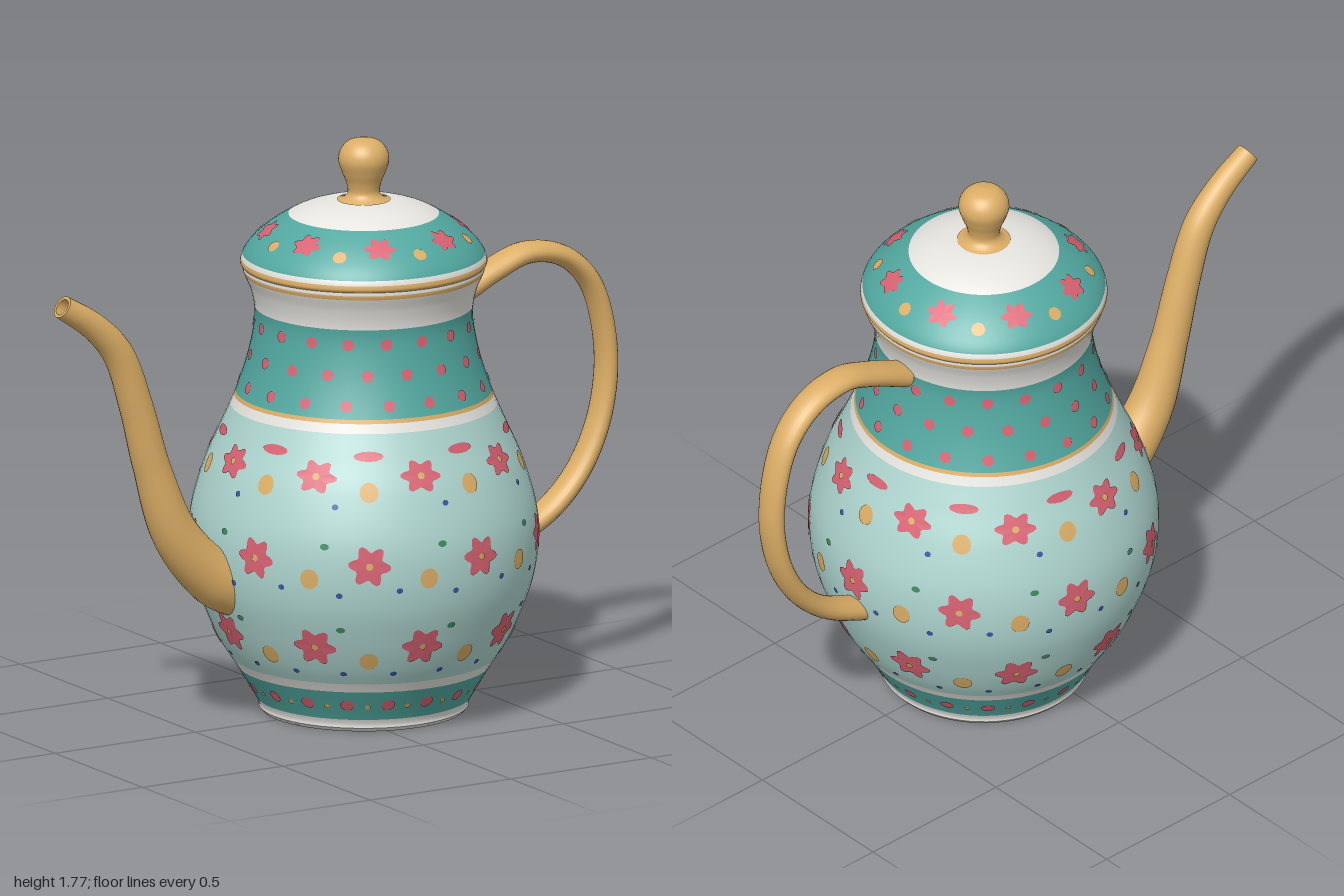
import * as THREE from 'three';
import { mergeGeometries } from 'three/addons/utils/BufferGeometryUtils.js';

const paint = (name, color) => {
  const m = new THREE.MeshStandardMaterial({ color });
  m.name = name;
  return m;
};

// Smooth profile from [radius, y] pairs, with y rising
const profile = (pairs) =>
  new THREE.SplineCurve(pairs.map(([r, y]) => new THREE.Vector2(r, y))).getPoints(260);

function radiusAt(pts, y) {
  let i = 1;
  while (i < pts.length - 1 && pts[i].y < y) i++;
  const a = pts[i - 1], b = pts[i];
  return a.x + (b.x - a.x) * ((y - a.y) / (b.y - a.y));
}

// Slice of a turned surface between two heights
function band(pts, y0, y1) {
  const slice = pts.filter((p) => p.y > y0 + 1e-4 && p.y < y1 - 1e-4);
  slice.unshift(new THREE.Vector2(radiusAt(pts, y0), y0));
  slice.push(new THREE.Vector2(radiusAt(pts, y1), y1));
  return new THREE.LatheGeometry(slice, 72);
}

// Petalled disc bent onto a turned surface; deg runs from +x towards +z
function patch(pts, deg, y0, w, h, petals = 0, lift = 0.003) {
  const g = new THREE.CircleGeometry(1, petals ? petals * 6 : 12);
  const pos = g.attributes.position;
  const e = 0.004;
  const dr = (radiusAt(pts, y0 + e) - radiusAt(pts, y0 - e)) / (2 * e);
  const len = Math.hypot(dr, 1);
  const r0 = radiusAt(pts, y0);
  for (let i = 0; i < pos.count; i++) {
    const u = pos.getX(i), v = pos.getY(i);
    const k = petals ? 0.82 + 0.18 * Math.cos(petals * Math.atan2(v, u) + 0.6) : 1;
    const y = y0 + (v * k * h) / len;
    const th = THREE.MathUtils.degToRad(deg) - (u * k * w) / r0;
    const r = radiusAt(pts, y) + lift / len;
    pos.setXYZ(i, r * Math.cos(th), y - (lift * dr) / len, r * Math.sin(th));
  }
  g.computeVertexNormals();
  return g;
}

// Tube along a curve in the xy plane; stations are [t, scale], radii(t) gives [in-plane, z]
function sweep(path, stations, radii) {
  const curve = new THREE.CatmullRomCurve3(path.map(([x, y]) => new THREE.Vector3(x, y, 0)));
  const n = 24, pos = [], idx = [];
  stations.forEach(([t, s], i) => {
    const p = curve.getPoint(t), d = curve.getTangent(t), [a, b] = radii(t);
    for (let j = 0; j < n; j++) {
      const q = (j / n) * Math.PI * 2, c = Math.cos(q) * a * s;
      pos.push(p.x - d.y * c, p.y + d.x * c, Math.sin(q) * b * s);
      if (i === stations.length - 1) continue;
      const k = i * n + j, l = i * n + ((j + 1) % n);
      idx.push(k, l, k + n, l, l + n, k + n);
    }
  });
  const g = new THREE.BufferGeometry();
  g.setAttribute('position', new THREE.Float32BufferAttribute(pos, 3));
  g.setIndex(idx);
  g.computeVertexNormals();
  return g;
}

const steps = (n) => Array.from({ length: n + 1 }, (_, i) => [i / n, 1]);

export function createModel() {
  const white = paint('white glaze', 0xe6e5e0);
  const mint = paint('pale mint', 0xaed5cf);
  const teal = paint('teal', 0x52a8a0);
  const gold = paint('gold', 0xdcae66);
  const red = paint('flower red', 0xd96272);
  const green = paint('leaf green', 0x3f8a60);
  const blue = paint('berry blue', 0x3858a4);

  const model = new THREE.Group();
  const pot = new THREE.Group();
  pot.name = 'pot';
  pot.position.x = 0.1;
  model.add(pot);
  const add = (parent, name, geometry, material) => {
    const m = new THREE.Mesh(geometry, material);
    m.name = name;
    parent.add(m);
  };

  const body = profile([[0.318, 0.012], [0.326, 0.04], [0.385, 0.14], [0.436, 0.22], [0.478, 0.31],
    [0.515, 0.42], [0.529, 0.53], [0.521, 0.64], [0.483, 0.77], [0.435, 0.88], [0.388, 0.99],
    [0.352, 1.1], [0.332, 1.2], [0.332, 1.26], [0.345, 1.315], [0.364, 1.36], [0.366, 1.38]]);
  const lid = profile([[0.368, 1.38], [0.374, 1.392], [0.366, 1.42], [0.343, 1.452], [0.302, 1.49],
    [0.255, 1.523], [0.2, 1.553], [0.14, 1.573], [0.08, 1.583]]);

  // Glazed bands, bottom to top
  [['foot', 0.012, 0.04, white], ['baseBand', 0.04, 0.14, teal], ['lowerWhiteBand', 0.14, 0.17, white],
    ['belly', 0.17, 0.95, mint], ['upperWhiteBand', 0.95, 0.978, white], ['shoulderLine', 0.978, 0.99, gold],
    ['neckBand', 0.99, 1.255, teal], ['neck', 1.255, 1.356, white], ['rimLine', 1.356, 1.369, gold],
    ['rim', 1.369, 1.38, white]].forEach(([n, a, b, m]) => add(pot, n, band(body, a, b), m));
  [['lidEdge', 1.38, 1.402, gold], ['lidWhiteLine', 1.402, 1.417, white], ['lidBand', 1.417, 1.539, teal],
    ['lidTop', 1.539, 1.583, white]].forEach(([n, a, b, m]) => add(pot, n, band(lid, a, b), m));

  // Hollow underside
  const under = [[0, 0.045], [0.22, 0.045], [0.25, 0.035], [0.268, 0.008], [0.28, 0], [0.308, 0], [0.318, 0.012]];
  add(pot, 'underside', new THREE.LatheGeometry(under.map(([r, y]) => new THREE.Vector2(r, y)), 72), white);

  // Knob
  const knob = profile([[0.095, 1.576], [0.065, 1.586], [0.049, 1.605], [0.053, 1.635], [0.066, 1.668],
    [0.077, 1.705], [0.07, 1.738], [0.045, 1.764], [0, 1.775]]);
  knob.forEach((p) => { p.x = Math.max(p.x, 0); });
  add(pot, 'knob', new THREE.LatheGeometry(knob, 32), gold);

  // Painted decoration, repeated round the pot
  const art = { red: [], gold: [], green: [], blue: [] };
  const ring = (list, pts, count, start, y, w, h = w, petals = 0, lift = 0.003) => {
    for (let i = 0; i < count; i++) list.push(patch(pts, start + (i * 360) / count, y, w, h, petals, lift));
  };
  [[0.3, 20, 0.068, 0.068], [0.568, 0, 0.066, 0.066], [0.825, 20, 0.066, 0.055]].forEach(([y, a, w, h]) => {
    ring(art.red, body, 9, a, y, w, h, 6);
    ring(art.gold, body, 9, a, y, 0.011, 0.011, 0, 0.006);
  });
  ring(art.red, body, 9, 0, 0.886, 0.046, 0.016);
  [[0.255, 0], [0.523, 20], [0.785, 0]].forEach(([y, a]) => ring(art.gold, body, 9, a, y, 0.029, 0.032));
  [[0.362, 10], [0.625, 15]].forEach(([y, a]) => ring(art.green, body, 9, a, y, 0.014, 0.01));
  [[0.21, 10], [0.21, 30], [0.475, 10], [0.49, 30], [0.742, 12]].forEach(([y, a]) =>
    ring(art.blue, body, 9, a, y, 0.01, 0.009));
  [[1.208, 10], [1.115, 0], [1.027, 10]].forEach(([y, a]) => ring(art.red, body, 18, a, y, 0.018));
  ring(art.red, body, 18, 10, 0.094, 0.021);
  ring(art.gold, body, 18, 0, 0.088, 0.009);
  ring(art.red, lid, 8, 22.5, 1.495, 0.05, 0.044, 6);
  ring(art.gold, lid, 8, 0, 1.475, 0.021);
  add(pot, 'redFlowers', mergeGeometries(art.red), red);
  add(pot, 'goldBlossoms', mergeGeometries(art.gold), gold);
  add(pot, 'leaves', mergeGeometries(art.green), green);
  add(pot, 'berries', mergeGeometries(art.blue), blue);

  // Tapered spout with a hollow tip
  const spoutPath = [[-0.31, 0.41], [-0.43, 0.47], [-0.57, 0.625], [-0.655, 0.845], [-0.71, 1.04],
    [-0.775, 1.215], [-0.86, 1.31], [-0.974, 1.387]];
  const spoutR = [0.088, 0.086, 0.072, 0.057, 0.052, 0.048, 0.042, 0.036];
  const spoutRadius = (t) => {
    const f = Math.min(t * 7, 6.999), i = Math.floor(f);
    const r = THREE.MathUtils.lerp(spoutR[i], spoutR[i + 1], f - i);
    return [r, r];
  };
  add(model, 'spout', sweep(spoutPath, [...steps(56), [1, 1], [1, 0.72], [1, 0.72], [0.9, 0.7], [0.9, 0]],
    spoutRadius), gold);

  // Flattened loop handle with blunt ends
  const handlePath = [[0.435, 1.243], [0.56, 1.302], [0.68, 1.34], [0.81, 1.312], [0.908, 1.215], [0.962, 1.0],
    [0.94, 0.8], [0.865, 0.64], [0.757, 0.53], [0.62, 0.46], [0.56, 0.44]];
  add(model, 'handle', sweep(handlePath, [[0, 0], [0, 1], ...steps(72), [1, 1], [1, 0]],
    (t) => [0.032 + 0.006 * Math.abs(2 * t - 1) ** 3, 0.047 + 0.008 * Math.abs(2 * t - 1)]), gold);

  return model;
}
